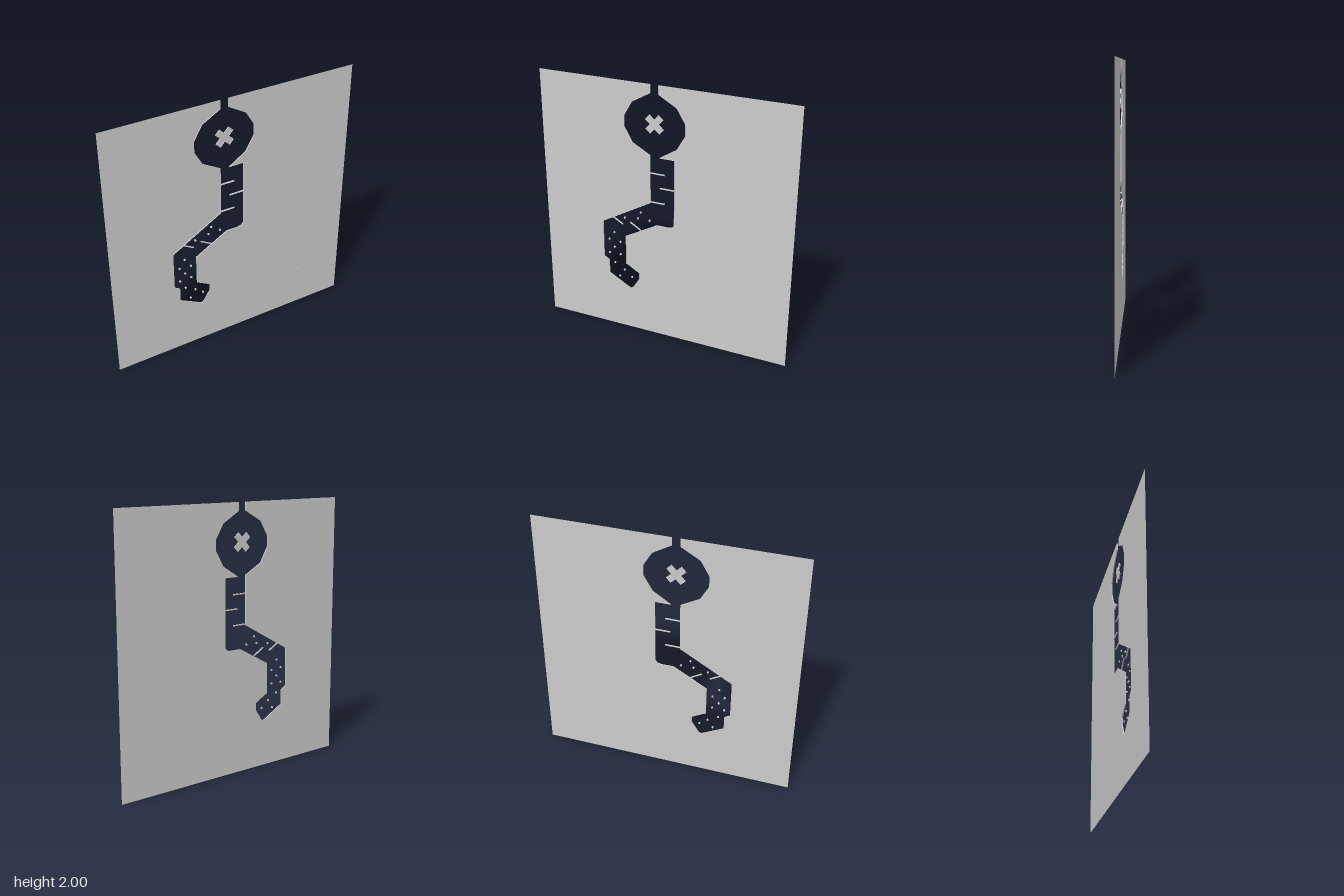
import * as THREE from 'three';

const DEPTH = 0.008;
const material = new THREE.MeshStandardMaterial({ color: 0xcccccc, side: THREE.DoubleSide, flatShading: true });

// Cutout boundary, from the left of the top slit round to its right
const cutout = [
  [-0.1, 2], [-0.1, 1.937], [-0.24, 1.857], [-0.303, 1.748], [-0.303, 1.667], [-0.24, 1.556],
  [-0.103, 1.48], [-0.103, 1.11], [-0.495, 0.885], [-0.495, 0.587], [-0.452, 0.561], [-0.452, 0.45],
  [-0.278, 0.354], [-0.257, 0.365], [-0.203, 0.45], [-0.203, 0.503], [-0.29, 0.553], [-0.31, 0.561],
  [-0.31, 0.795], [-0.056, 0.938], [0.04, 0.938], [0.065, 0.945], [0.082, 0.963], [0.082, 1.471],
  [-0.034, 1.471], [0.098, 1.555], [0.163, 1.667], [0.163, 1.75], [0.098, 1.857], [-0.04, 1.937], [-0.04, 2],
].map(([x, y]) => new THREE.Vector2(x, y));

function addMesh(parent, geometry, name) {
  const mesh = new THREE.Mesh(geometry, material);
  mesh.name = name;
  parent.add(mesh);
}

// Upright strip following a line of points from the back to the front
function wall(points, closed) {
  const positions = [], index = [];
  points.forEach((p, i) => {
    positions.push(p.x, p.y, -DEPTH / 2, p.x, p.y, DEPTH / 2);
    if (i < points.length - 1 || closed) {
      const a = 2 * i, b = 2 * ((i + 1) % points.length);
      index.push(a, b, a + 1, b, b + 1, a + 1);
    }
  });
  const geometry = new THREE.BufferGeometry();
  geometry.setAttribute('position', new THREE.Float32BufferAttribute(positions, 3));
  geometry.setIndex(index);
  geometry.computeVertexNormals();
  return geometry;
}

// Flat face with a thin wall round its edge
function walledPiece(parent, points, name) {
  const group = new THREE.Group();
  group.name = name;
  addMesh(group, new THREE.ShapeGeometry(new THREE.Shape(points)).translate(0, 0, -DEPTH / 2), name + 'Face');
  addMesh(group, wall(points, true), name + 'Wall');
  parent.add(group);
}

// Thin bar between two points
function bar(x1, y1, x2, y2, width) {
  const a = new THREE.Vector2(x1, y1), b = new THREE.Vector2(x2, y2);
  const d = b.clone().sub(a).normalize().multiplyScalar(width / 2);
  const n = new THREE.Vector2(-d.y, d.x);
  return [a.clone().sub(n), b.clone().sub(n), b.clone().add(n), a.clone().add(n)];
}

function disc(x, y, r) {
  return Array.from({ length: 8 }, (_, i) => {
    const t = (i / 8) * Math.PI * 2;
    return new THREE.Vector2(x + r * Math.cos(t), y + r * Math.sin(t));
  });
}

export function createModel() {
  const model = new THREE.Group();
  model.name = 'cutoutPanel';

  // Panel, its top edge opened by the slit of the cutout
  const corners = [[0.975, 2], [0.975, 0], [-0.975, 0], [-0.975, 2]].map(([x, y]) => new THREE.Vector2(x, y));
  const panel = new THREE.Shape([...cutout, ...corners]);
  addMesh(model, new THREE.ShapeGeometry(panel).translate(0, 0, -DEPTH / 2), 'panel');
  addMesh(model, wall(cutout, false), 'cutoutWall');

  // Bars reaching into the cutout
  [[-0.103, 1.346, 0.008, 1.346], [-0.03, 1.239, 0.082, 1.239], [-0.103, 1.12, 0.008, 1.12],
    [-0.41, 0.936, -0.33, 0.89], [-0.27, 0.92, -0.185, 0.87]]
    .forEach((b) => walledPiece(model, bar(...b, 0.008), 'bar'));

  // Free dots in the lower bends
  [[-0.183, 1.017], [-0.112, 0.965], [-0.207, 0.963], [-0.315, 0.947], [-0.405, 0.807], [-0.448, 0.742],
    [-0.356, 0.735], [-0.405, 0.683], [-0.448, 0.627], [-0.356, 0.63], [-0.405, 0.55], [-0.325, 0.503],
    [-0.366, 0.44], [-0.262, 0.453]]
    .forEach(([x, y]) => walledPiece(model, disc(x, y, 0.008), 'dot'));

  // Diagonal cross in the round opening
  const L = 0.074, W = 0.024;
  const cross = [];
  for (let i = 0; i < 4; i++) {
    const turn = Math.PI / 4 + 0.05 + (i * Math.PI) / 2;
    [[L, -W], [L, W], [W, W]].forEach(([x, y]) => {
      cross.push(new THREE.Vector2(x, y).rotateAround(new THREE.Vector2(), turn).add(new THREE.Vector2(-0.07, 1.716)));
    });
  }
  walledPiece(model, cross, 'cross');

  // Tiny mark low on the panel
  addMesh(model, wall(disc(0.592, 0.34, 0.003), true), 'mark');

  return model;
}
